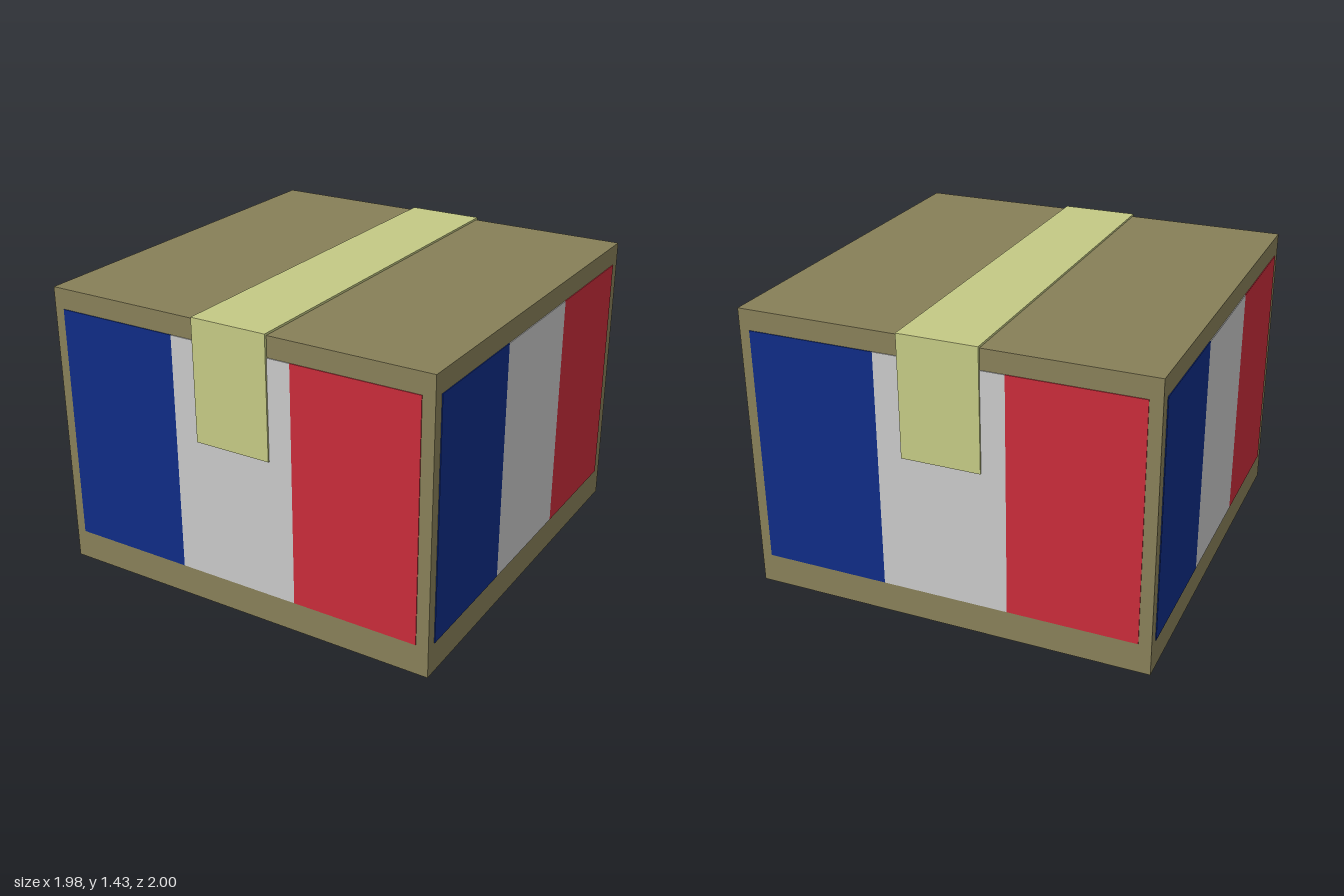
import * as THREE from 'three';

const WIDTH = 1.975, HEIGHT = 1.42, HALF = WIDTH / 2;

function material(name, color) {
  const m = new THREE.MeshStandardMaterial({ color });
  m.name = name;
  return m;
}

function addBox(parent, name, size, position, mat) {
  const mesh = new THREE.Mesh(new THREE.BoxGeometry(...size), mat);
  mesh.name = name;
  mesh.position.set(...position);
  parent.add(mesh);
  return mesh;
}

export function createModel() {
  const cardboard = material('cardboard', 0x877f58);
  const tape = material('tape', 0xc4c984);
  const blue = material('blue', 0x0f2c85);
  const white = material('white', 0xc8c8c8);
  const red = material('red', 0xc82c3a);

  const model = new THREE.Group();
  model.name = 'parcel';

  // Closed carton
  addBox(model, 'carton', [WIDTH, HEIGHT, WIDTH], [0, HEIGHT / 2, 0], cardboard);

  // Three upright colour bands on each of the four sides
  const bandWidth = 0.621, bandBottom = 0.15, bandTop = 1.32, plate = 0.004;
  const sides = ['front', 'left', 'back', 'right'];
  sides.forEach((side, i) => {
    const panel = new THREE.Group();
    panel.name = side + 'Panel';
    panel.rotation.y = i * Math.PI / 2;
    [blue, white, red].forEach((mat, j) => {
      addBox(panel, mat.name + 'Band', [bandWidth, bandTop - bandBottom, plate],
        [(j - 1) * bandWidth - 0.004, (bandTop + bandBottom) / 2, HALF + plate / 2], mat);
    });
    model.add(panel);
  });

  // Sealing tape: one strip over the top, folded down at front and back
  const outline = new THREE.Shape();
  [[-1, 0.835], [-HALF, 0.835], [-HALF, HEIGHT], [HALF, HEIGHT],
    [HALF, 0.835], [1, 0.835], [1, 1.43], [-1, 1.43]]
    .forEach(([z, y], i) => (i ? outline.lineTo(z, y) : outline.moveTo(z, y)));
  const tapeWidth = 0.384;
  const strip = new THREE.ExtrudeGeometry(outline, { depth: tapeWidth, bevelEnabled: false });
  strip.translate(0, 0, -tapeWidth / 2).rotateY(Math.PI / 2);
  const tapeMesh = new THREE.Mesh(strip, tape);
  tapeMesh.name = 'sealingTape';
  model.add(tapeMesh);

  return model;
}
